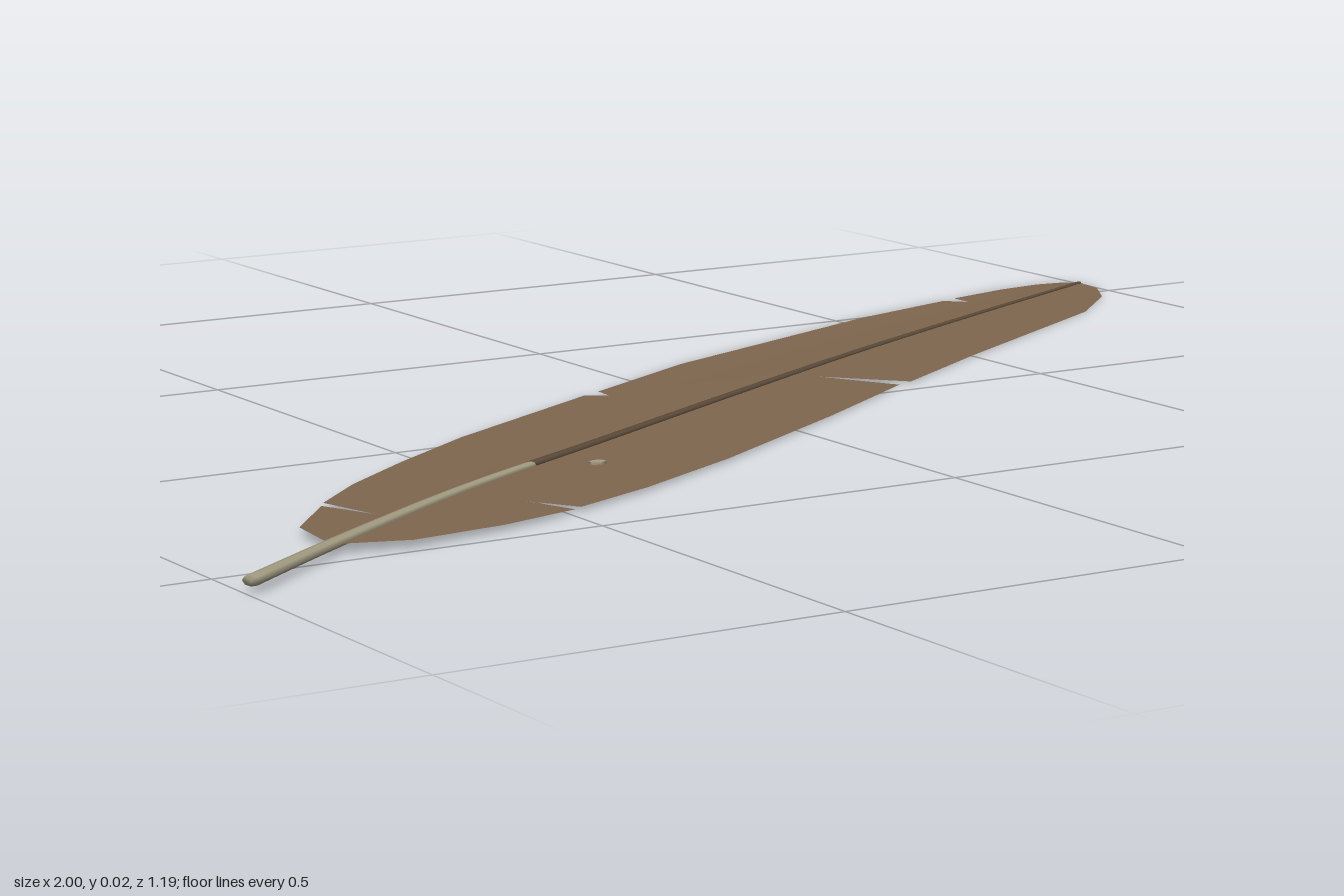
import * as THREE from 'three';

const mat = (name, color, side = THREE.FrontSide) => {
  const m = new THREE.MeshStandardMaterial({ color, side });
  m.name = name;
  return m;
};

// Points along the shaft, as [x, z], from quill to tip
const shaftPoints = [[-0.993, 0.583], [-0.82, 0.457], [-0.555, 0.278], [-0.27, 0.115], [0.04, -0.064], [0.35, -0.238], [0.68, -0.41], [0.995, -0.568]];
const shaftY = x => 0.0105 - 0.0055 * x;
const shaftCurve = new THREE.CatmullRomCurve3(shaftPoints.map(([x, z]) => new THREE.Vector3(x, shaftY(x), z)));

// Outer edges of the two vanes from base to tip, with their splits
const backEdge = [[-0.835, 0.467], [-0.82, 0.36], [-0.742, 0.265], [-0.715, 0.35], [-0.732, 0.25], [-0.65, 0.17], [-0.535, 0.08],
  [-0.395, -0.02], [-0.115, -0.185], [-0.09, -0.163], [-0.085, -0.2], [0.12, -0.318], [0.34, -0.41], [0.54, -0.495],
  [0.73, -0.553], [0.752, -0.52], [0.757, -0.563], [0.865, -0.59], [0.935, -0.597], [0.98, -0.587], [0.997, -0.568]];
const frontEdge = [[-0.835, 0.467], [-0.74, 0.487], [-0.61, 0.465], [-0.495, 0.43], [-0.525, 0.37], [-0.482, 0.422],
  [-0.355, 0.365], [-0.18, 0.27], [0.085, 0.105], [0.285, -0.028], [0.214, -0.12], [0.312, -0.04], [0.5, -0.158],
  [0.855, -0.367], [0.957, -0.46], [0.993, -0.52], [0.997, -0.568]];

// Horizontal distance from the shaft
const samples = shaftCurve.getPoints(200);
const shaftDistance = (x, z) => Math.min(...samples.map(p => Math.hypot(p.x - x, p.z - z)));

// One half of the feather: a thin sheet drooping gently from the shaft
function vane(name, edge, material) {
  const inner = samples.filter((p, i) => i % 8 === 0 && p.x > -0.81 && p.x < 0.98).map(p => [p.x, p.z]).reverse();
  const shape = new THREE.Shape([...edge, ...inner].map(([x, z]) => new THREE.Vector2(x, -z)));
  const geo = new THREE.ShapeGeometry(shape).rotateX(-Math.PI / 2);
  const pos = geo.attributes.position;
  for (let i = 0; i < pos.count; i++) {
    const x = pos.getX(i), z = pos.getZ(i);
    pos.setY(i, shaftY(x) - 0.03 * shaftDistance(x, z));
  }
  geo.computeVertexNormals();
  const mesh = new THREE.Mesh(geo, material);
  mesh.name = name;
  return mesh;
}

// Round tube between two fractions of the shaft, tapered and closed to points
function taperedShaft(name, from, to, r0, r1, flat, material) {
  const steps = 32, sides = 8;
  const path = new THREE.CatmullRomCurve3(
    Array.from({ length: 13 }, (_, i) => shaftCurve.getPointAt(from + (to - from) * i / 12)));
  const geo = new THREE.TubeGeometry(path, steps, 1, sides);
  const pos = geo.attributes.position, v = new THREE.Vector3();
  for (let i = 0; i < pos.count; i++) {
    const ring = Math.floor(i / (sides + 1));
    const t = ring === 0 ? 0 : Math.max(0, ring - 1) / (steps - 2);
    const c = path.getPointAt(ring === 0 ? 0 : Math.min(1, t));
    const r = ring === 0 || ring === steps ? 0 : r0 + (r1 - r0) * t;
    v.fromBufferAttribute(pos, i).sub(path.getPointAt(ring / steps)).multiplyScalar(r);
    pos.setXYZ(i, c.x + v.x, c.y + v.y * flat, c.z + v.z);
  }
  geo.computeVertexNormals();
  const mesh = new THREE.Mesh(geo, material);
  mesh.name = name;
  return mesh;
}

export function createModel() {
  const brown = mat('vaneBrown', 0x80674f, THREE.DoubleSide);
  const pale = mat('quillPale', 0xa39c82);
  const dark = mat('shaftDark', 0x5a4a39);
  const feather = new THREE.Group();
  feather.name = 'feather';

  feather.add(vane('backVane', backEdge, brown), vane('frontVane', frontEdge, brown));

  // Pale quill runs into the darker, thinner shaft
  feather.add(taperedShaft('quill', 0, 0.4, 0.011, 0.006, 0.6, pale));
  feather.add(taperedShaft('shaft', 0.3, 1, 0.008, 0.004, 0.6, dark));

  // Small pale fleck on the front vane
  const fleck = new THREE.Mesh(new THREE.CylinderGeometry(0.012, 0.012, 0.004, 6), pale);
  fleck.name = 'fleck';
  fleck.scale.z = 0.75;
  fleck.position.set(-0.342, shaftY(-0.342) - 0.001, 0.226);
  feather.add(fleck);

  return feather;
}
